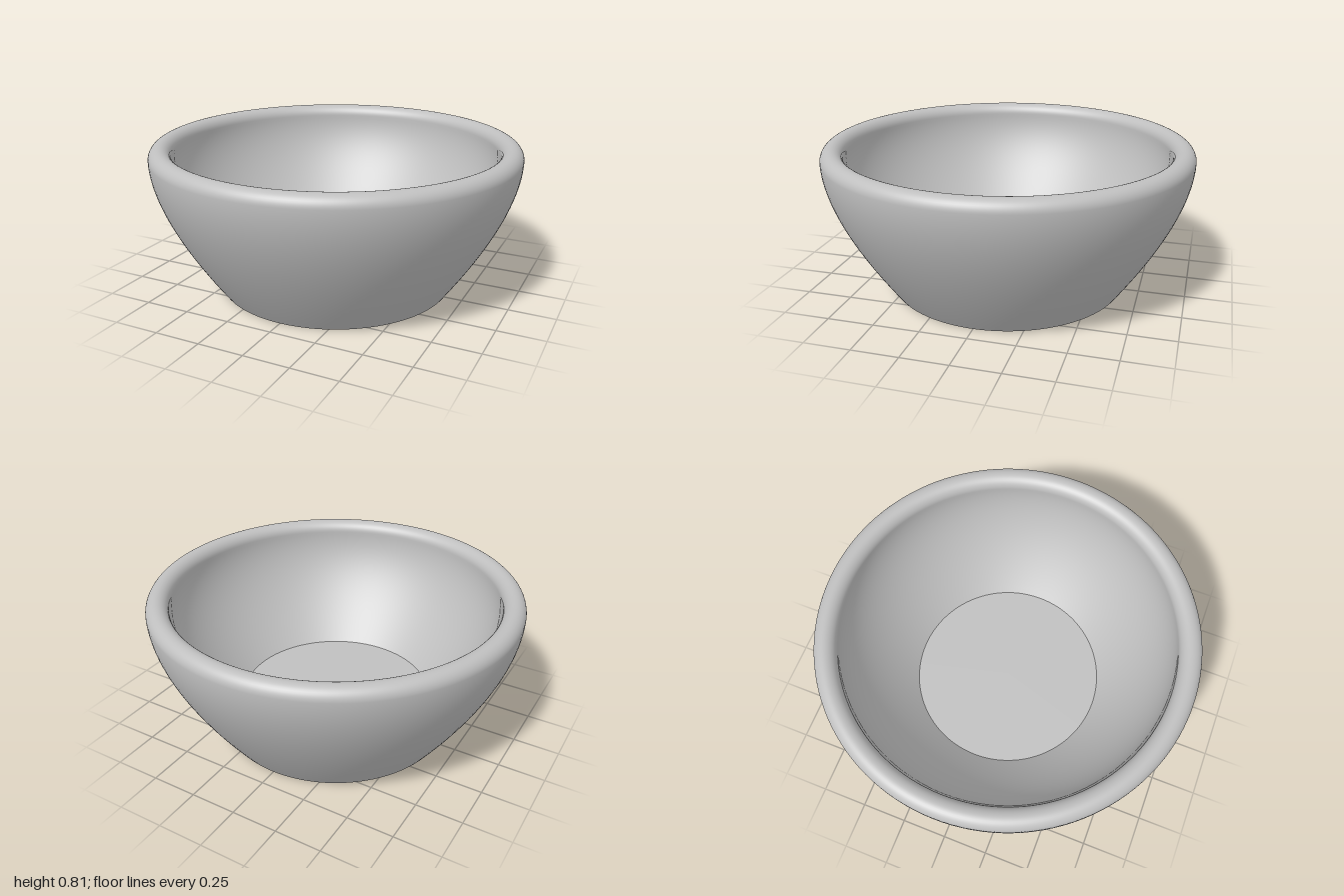
import * as THREE from 'three';

const SEGMENTS = 128;
const v = (x, y) => new THREE.Vector2(x, y);

export function createModel() {
  const bowl = new THREE.Group();
  bowl.name = 'bowl';
  const clay = new THREE.MeshStandardMaterial({ color: 0xbfbfbf });
  clay.name = 'light grey';

  const add = (name, geometry) => {
    const mesh = new THREE.Mesh(geometry, clay);
    mesh.name = name;
    bowl.add(mesh);
    return mesh;
  };

  // Wall profile: up the outside, over the rounded rim, down the inside
  const outside = new THREE.QuadraticBezierCurve(v(0.65, 0), v(1, 0.48), v(1, 0.75)).getPoints(28);
  const inside = new THREE.QuadraticBezierCurve(v(0.88, 0.75), v(0.88, 0.5), v(0.525, 0.15)).getPoints(28);
  const rim = [];
  for (let i = 1; i < 20; i++) {
    const a = (i / 20) * Math.PI;
    rim.push(v(0.94 + 0.06 * Math.cos(a), 0.75 + 0.06 * Math.sin(a)));
  }
  add('wall', new THREE.LatheGeometry([...outside, ...rim, ...inside], SEGMENTS));

  // Flat inner floor
  const floor = add('floor', new THREE.CircleGeometry(0.525, SEGMENTS));
  floor.rotation.x = -Math.PI / 2;
  floor.position.y = 0.15;

  // Flat underside
  const base = add('base', new THREE.CircleGeometry(0.65, SEGMENTS));
  base.rotation.x = Math.PI / 2;

  return bowl;
}
